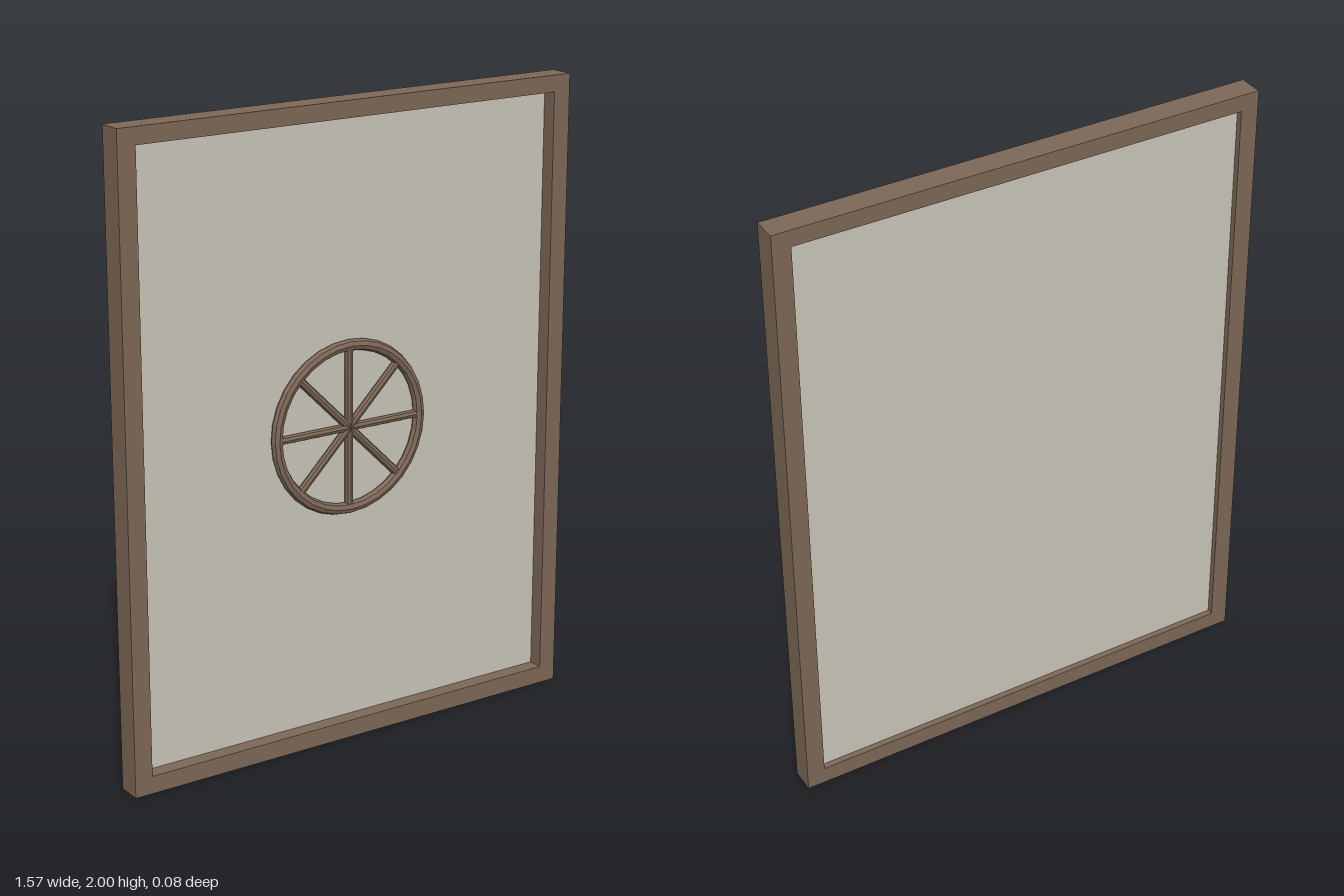
import * as THREE from 'three';

const wood = new THREE.MeshStandardMaterial({ color: 0x7d6857, flatShading: true });
const plaster = new THREE.MeshStandardMaterial({ color: 0xc9c5b8 });

const WIDTH = 1.57, HEIGHT = 2, DEPTH = 0.08;
const SIDE = 0.058, TOP = 0.052, BOTTOM = 0.056;

function rectangle(path, x0, y0, x1, y1) {
  path.moveTo(x0, y0);
  path.lineTo(x1, y0);
  path.lineTo(x1, y1);
  path.lineTo(x0, y1);
  path.closePath();
  return path;
}

function add(parent, name, geometry, material) {
  const mesh = new THREE.Mesh(geometry, material);
  mesh.name = name;
  parent.add(mesh);
  return mesh;
}

export function createModel() {
  const model = new THREE.Group();
  model.name = 'framedPanel';

  // Rectangular frame with an open middle
  const innerX = WIDTH / 2 - SIDE;
  const outline = rectangle(new THREE.Shape(), -WIDTH / 2, 0, WIDTH / 2, HEIGHT);
  outline.holes.push(rectangle(new THREE.Path(), -innerX, BOTTOM, innerX, HEIGHT - TOP));
  const frameGeometry = new THREE.ExtrudeGeometry(outline, { depth: DEPTH, bevelEnabled: false });
  frameGeometry.translate(0, 0, -DEPTH / 2);
  add(model, 'frame', frameGeometry, wood);

  // Panel set towards the back of the frame
  const panelHeight = HEIGHT - TOP - BOTTOM;
  const panel = add(model, 'panel', new THREE.BoxGeometry(innerX * 2, panelHeight, 0.012), plaster);
  panel.position.set(0, BOTTOM + panelHeight / 2, -0.014);

  // Wheel ornament: a ring and four bars crossing at its centre
  const wheel = new THREE.Group();
  wheel.name = 'wheel';
  wheel.position.set(0, 1, 0);
  model.add(wheel);
  add(wheel, 'rim', new THREE.TorusGeometry(0.257, 0.018, 8, 32), wood);
  for (let i = 0; i < 4; i++) {
    const spoke = add(wheel, 'spoke', new THREE.CylinderGeometry(0.013, 0.013, 0.5, 8), wood);
    spoke.rotation.z = (i * Math.PI) / 4;
  }

  return model;
}
